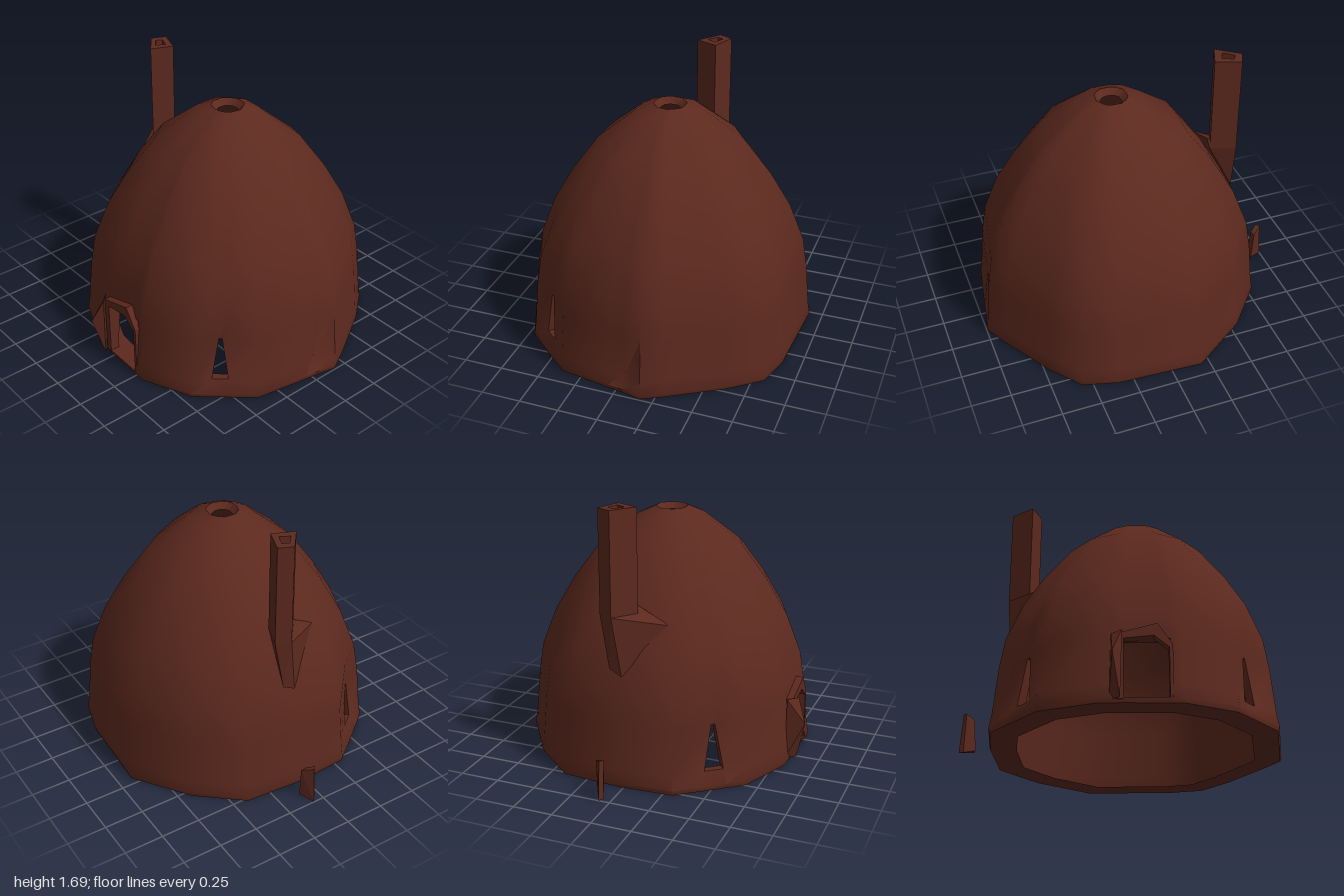
import * as THREE from 'three';
import { toCreasedNormals } from 'three/addons/utils/BufferGeometryUtils.js';
import { ConvexGeometry } from 'three/addons/geometries/ConvexGeometry.js';

const clay = new THREE.MeshStandardMaterial({ color: 0x5c291e, side: THREE.DoubleSide });

// Uneven ground outline [x, z], from the door round by the left side
const PLAN = [
  [-0.03, 0.83], [0.25, 0.835], [0.31, 0.84], [0.63, 0.7], [0.71, 0.61], [0.78, 0.53],
  [0.9, 0.39], [0.96, 0.05], [0.975, -0.05], [1, -0.17], [0.93, -0.3], [0.73, -0.63],
  [0.57, -0.83], [0.35, -0.89], [-0.2, -0.92], [-0.55, -0.68], [-0.78, -0.41],
  [-0.81, -0.02], [-0.79, 0.31], [-0.66, 0.48], [-0.58, 0.58], [-0.5, 0.68], [-0.17, 0.82],
];
// Dome profile: [height, scale of the outline]
const ROWS = [
  [0, 0.99], [0.03, 1], [0.11, 0.985], [0.4, 0.955], [0.6, 0.92],
  [0.85, 0.815], [1.07, 0.675], [1.3, 0.49], [1.49, 0.23], [1.54, 0.11],
];
const CX = 0.09, CZ = -0.04;
const DOOR = 0, WINDOWS = [4, 19], DENT = 8;

function add(group, name, geometry) {
  const mesh = new THREE.Mesh(geometry, clay);
  mesh.name = name;
  group.add(mesh);
  return mesh;
}

const convex = (points) => new ConvexGeometry(points.map((p) => new THREE.Vector3(...p)));
const path = (points, Type = THREE.Shape) => new Type(points.map(([x, y]) => new THREE.Vector2(x, y)));

// Hollow dome wall with cells left out for the door and windows
function domeGeometry() {
  const n = PLAN.length, last = ROWS.length - 1, pos = [];

  const point = (i, j, inner) => {
    i = (i + n) % n;
    let [x, z] = PLAN[i];
    let [y, s] = ROWS[j];
    // windows sit in shallow hollows and narrow to a point at the top
    for (const w of WINDOWS) {
      if (i !== w && i !== w + 1) continue;
      if (j === 2 || j === 3) s *= 0.96;
      if (j === 3) {
        const other = PLAN[i === w ? w + 1 : w];
        x += (other[0] - x) * 0.4;
        z += (other[1] - z) * 0.4;
      }
    }
    if (i === DENT && j === 2) s *= 0.94;
    if (inner) {
      // wide foot rim, thin wall, tight smoke hole
      s *= j === 0 ? 0.82 : j === last ? 0.65 : 0.94;
      y *= 0.975;
    }
    return [CX + (x - CX) * s, y, CZ + (z - CZ) * s];
  };
  const quad = (a, b, c, d) => pos.push(...a, ...b, ...c, ...a, ...c, ...d);
  const solid = (i, j) => {
    i = (i + n) % n;
    if (j < 0 || j >= last) return false;
    if (i === DOOR && (j === 1 || j === 2)) return false;
    return !(WINDOWS.includes(i) && j === 2);
  };

  for (let j = 0; j < last; j++) {
    for (let i = 0; i < n; i++) {
      if (!solid(i, j)) continue;
      const corners = [[i, j], [i + 1, j], [i + 1, j + 1], [i, j + 1]];
      const out = corners.map(([a, b]) => point(a, b, false));
      const inn = corners.map(([a, b]) => point(a, b, true));
      quad(...out);
      quad(inn[3], inn[2], inn[1], inn[0]);
      // close the wall thickness along every free edge
      const neighbours = [[i, j - 1], [i + 1, j], [i, j + 1], [i - 1, j]];
      neighbours.forEach(([a, b], k) => {
        const m = (k + 1) % 4;
        if (!solid(a, b)) quad(out[m], out[k], inn[k], inn[m]);
      });
    }
  }
  const g = new THREE.BufferGeometry();
  g.setAttribute('position', new THREE.Float32BufferAttribute(pos, 3));
  return toCreasedNormals(g, 0.85);
}

export function createModel() {
  const group = new THREE.Group();
  group.name = 'clayHut';

  add(group, 'dome', domeGeometry());

  // Thin crooked door surround with a peaked lintel
  const surround = path([
    [-0.06, 0.02], [-0.02, 0.02], [-0.02, 0.38], [0.15, 0.4], [0.235, 0.33], [0.235, 0.02],
    [0.255, 0.02], [0.255, 0.35], [0.17, 0.475], [-0.06, 0.41],
  ]);
  const frame = add(group, 'doorFrame', new THREE.ExtrudeGeometry(surround, { depth: 0.06, bevelEnabled: false }));
  frame.position.z = 0.77;

  // Jutting post beside the door
  add(group, 'doorPost', convex([
    [-0.09, 0.42, 0.8], [-0.03, 0.42, 0.86], [-0.085, 0.27, 0.92], [-0.1, 0.02, 0.8], [-0.04, 0.02, 0.86],
  ]));

  // Square chimney with a shallow flue, turned against the wall
  const corners = [[-0.74, 0.09], [-0.7, 0.18], [-0.545, 0.12], [-0.6, -0.02]];
  const stack = path(corners);
  stack.holes.push(path([[-0.69, 0.09], [-0.67, 0.13], [-0.6, 0.1], [-0.63, 0.04]], THREE.Path));
  const chimney = add(group, 'chimney', new THREE.ExtrudeGeometry(stack, { depth: 0.64, bevelEnabled: false }));
  chimney.rotation.x = -Math.PI / 2;
  chimney.position.y = 1.05;

  // Tapering foot where the chimney runs down into the dome
  add(group, 'chimneyFoot', convex([
    ...corners.map(([x, z]) => [x, 1.05, -z]),
    [-0.53, 1.12, -0.1], [-0.55, 0.98, 0.2], [-0.715, 0.68, -0.04], [-0.71, 0.72, -0.12],
  ]));

  // Small standing stone beside the hut
  const base = [[-1, -0.07], [-0.91, -0.12], [-0.9, -0.08], [-0.97, -0.05]];
  add(group, 'stone', convex(base.flatMap(([x, z]) => [
    [x, x < -0.95 ? 0 : 0.02, z],
    [-0.945 + (x + 0.945) * 0.7, x < -0.95 ? 0.25 : 0.22, z],
  ])));

  return group;
}
